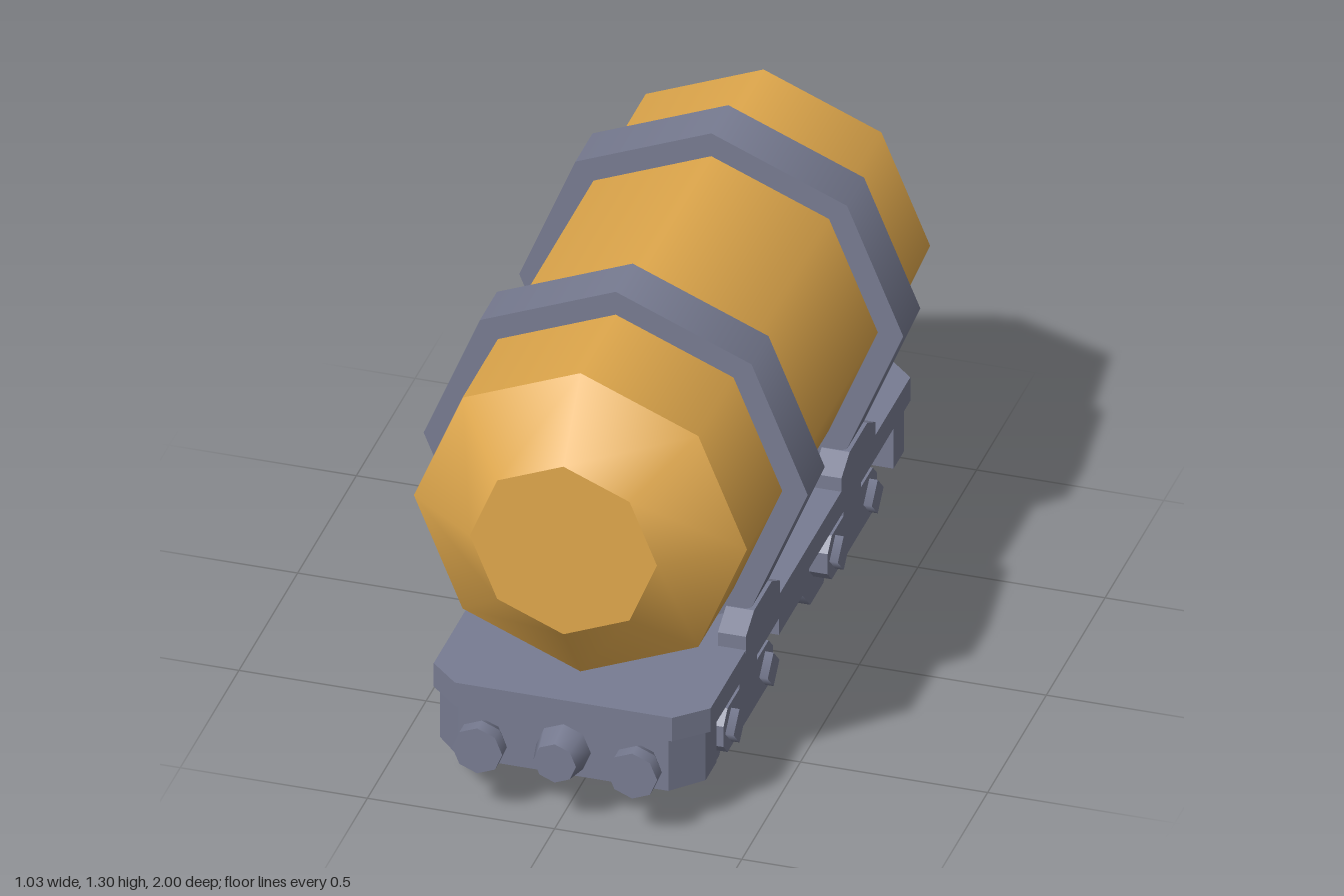
import * as THREE from 'three';

const steel = new THREE.MeshStandardMaterial({ color: 0x787c92 });
steel.name = 'blue grey steel';
const amber = new THREE.MeshStandardMaterial({ color: 0xe0a84c });
amber.name = 'amber tank';
const black = new THREE.MeshStandardMaterial({ color: 0x36363a });
black.name = 'dark underframe';

function add(parent, name, geometry, material, x = 0, y = 0, z = 0) {
  const mesh = new THREE.Mesh(geometry, material);
  mesh.name = name;
  mesh.position.set(x, y, z);
  parent.add(mesh);
  return mesh;
}

const shapeOf = (pts) => new THREE.Shape(pts.map(([a, b]) => new THREE.Vector2(a, b)));

// Horizontal plate: outline in (x, z), hanging down from its origin
const slab = (pts, height) =>
  new THREE.ExtrudeGeometry(shapeOf(pts), { depth: height, bevelEnabled: false }).rotateX(Math.PI / 2);

// Upright plate: outline in (z, y), centred across x
const sidePlate = (pts, width) =>
  new THREE.ExtrudeGeometry(shapeOf(pts), { depth: width, bevelEnabled: false })
    .translate(0, 0, -width / 2).rotateY(-Math.PI / 2);

// Eight-sided drum along z, corner pointing up
const drumZ = (rFront, rBack, length, open = false) =>
  new THREE.CylinderGeometry(rFront, rBack, length, 8, 1, open).rotateX(Math.PI / 2);

// Drum along x with a flat side down
const drumX = (r, width, sides = 8) =>
  new THREE.CylinderGeometry(r, r, width, sides).rotateY(Math.PI / sides).rotateZ(Math.PI / 2);

function buildTank() {
  const tank = new THREE.Group();
  tank.name = 'tank';
  tank.position.y = 0.787;
  add(tank, 'tankBody', drumZ(0.445, 0.445, 1.56, true), amber);
  add(tank, 'frontCap', drumZ(0.25, 0.445, 0.145), amber, 0, 0, 0.8525);
  add(tank, 'backCap', drumZ(0.445, 0.25, 0.145), amber, 0, 0, -0.8525);
  for (const z of [-0.407, 0.407]) add(tank, 'tankBand', drumZ(0.513, 0.513, 0.145), steel, 0, 0, z);
  return tank;
}

// End skirt with cut corners, two buffers and a coupler
function buildEnd() {
  const end = new THREE.Group();
  const skirt = [
    [0.355, 0.755], [0.355, 0.845], [0.28, 0.924], [-0.28, 0.924], [-0.355, 0.845], [-0.355, 0.755],
    [-0.28, 0.755], [-0.28, 0.815], [-0.25, 0.85], [0.25, 0.85], [0.28, 0.815], [0.28, 0.755],
  ];
  add(end, 'endSkirt', slab(skirt, 0.15), steel, 0, 0.27, 0);
  for (const x of [-0.207, 0.207]) {
    add(end, 'bufferStem', drumZ(0.067, 0.045, 0.04), steel, x, 0.195, 0.94);
    add(end, 'bufferHead', drumZ(0.067, 0.067, 0.04), steel, x, 0.195, 0.98);
  }
  add(end, 'coupler', drumZ(0.057, 0.074, 0.08), steel, 0, 0.195, 0.96);
  return end;
}

// Four-wheel bogie
function buildBogie() {
  const bogie = new THREE.Group();
  bogie.name = 'bogie';
  add(bogie, 'bogieBlock', new THREE.BoxGeometry(0.45, 0.2, 0.38), black, 0, 0.155, 0);
  const frame = [
    [-0.175, 0.07], [0.175, 0.07], [0.21, 0.105], [0.21, 0.165], [0.175, 0.2],
    [0.075, 0.2], [0.075, 0.27], [-0.075, 0.27], [-0.075, 0.2],
    [-0.175, 0.2], [-0.21, 0.165], [-0.21, 0.105],
  ];
  for (const s of [-1, 1]) {
    add(bogie, 'sideFrame', sidePlate(frame, 0.055), steel, s * 0.315, 0, 0);
    for (const z of [-0.145, 0.145]) {
      add(bogie, 'wheel', drumX(0.146, 0.07), steel, s * 0.258, 0.135, z);
      const box = add(bogie, 'axleBox', drumX(0.05, 0.03, 4), steel, s * 0.35, 0.135, z);
      box.rotation.x = Math.PI / 4;
    }
  }
  return bogie;
}

export function createModel() {
  const model = new THREE.Group();
  model.name = 'tankWagon';
  model.add(buildTank());

  // Deck with cut corners
  const deck = [
    [0.37, 0.85], [0.29, 0.925], [-0.29, 0.925], [-0.37, 0.85],
    [-0.37, -0.85], [-0.29, -0.925], [0.29, -0.925], [0.37, -0.85],
  ];
  add(model, 'deck', slab(deck, 0.07), steel, 0, 0.34, 0);
  add(model, 'centreBox', new THREE.BoxGeometry(0.64, 0.15, 0.22), steel, 0, 0.195, 0);

  const front = buildEnd();
  front.name = 'frontEnd';
  const back = buildEnd();
  back.name = 'backEnd';
  back.rotation.y = Math.PI;
  model.add(front, back);

  // Bogies and the saddles above them
  const saddle = [
    [-0.145, 0.33], [0.145, 0.33], [0.145, 0.38], [0.075, 0.418], [-0.075, 0.418], [-0.145, 0.38],
  ];
  for (const z of [-0.407, 0.407]) {
    const bogie = buildBogie();
    bogie.position.z = z * 1.09;
    model.add(bogie);
    for (const s of [-1, 1]) add(model, 'saddle', sidePlate(saddle, 0.075), steel, s * 0.333, 0, z);
  }
  return model;
}
